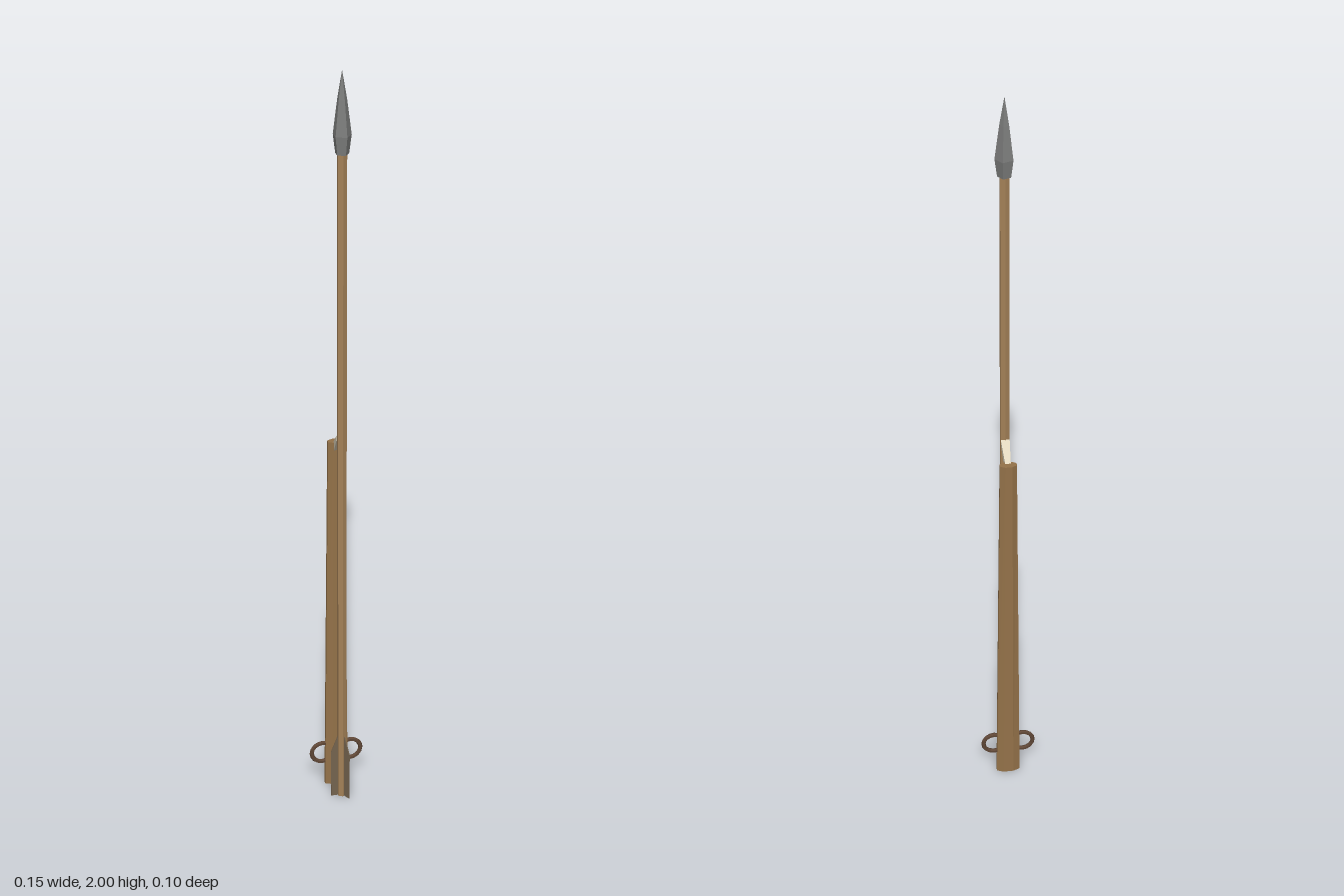
import * as THREE from 'three';

const paint = (color, extra = {}) => new THREE.MeshStandardMaterial({ color, flatShading: true, ...extra });

function add(parent, name, geometry, material, x = 0, y = 0, z = 0) {
  const mesh = new THREE.Mesh(geometry, material);
  mesh.name = name;
  mesh.position.set(x, y, z);
  parent.add(mesh);
  return mesh;
}

export function createModel() {
  const model = new THREE.Group();
  model.name = 'spearAndThrower';

  const shaftWood = paint(0xa58258);
  const boardWood = paint(0x947249);
  const stone = paint(0x7c7d7c);
  const bone = paint(0xe0d6bd);
  const leather = paint(0x5e4636);
  const feather = paint(0x75644f, { side: THREE.DoubleSide });

  // Dart: shaft, five-sided point and three feathers
  const dart = new THREE.Group();
  dart.name = 'dart';
  dart.position.z = 0.023;
  model.add(dart);
  add(dart, 'shaft', new THREE.CylinderGeometry(0.0125, 0.0125, 1.81, 6), shaftWood, 0, 0.905, 0);

  const headProfile = [[0, 1.8], [0.017, 1.8], [0.023, 1.845], [0.012, 1.93], [0, 2]]
    .map(([r, y]) => new THREE.Vector2(r, y));
  add(dart, 'spearHead', new THREE.LatheGeometry(headProfile, 5, Math.PI / 2), stone);

  const vane = new THREE.Shape([[0, 0], [0.029, 0], [0.029, 0.14], [0.01, 0.19], [0, 0.19]]
    .map(([x, y]) => new THREE.Vector2(x, y)));
  const vaneGeometry = new THREE.ExtrudeGeometry(vane, { depth: 0.003, bevelEnabled: false });
  vaneGeometry.translate(0, 0, -0.0015);
  for (let i = 0; i < 3; i++) {
    add(dart, 'feather', vaneGeometry, feather).rotation.y = Math.PI + (i * Math.PI * 2) / 3;
  }

  // Throwing board: flattened octagonal bar, wider at the grip
  const thrower = new THREE.Group();
  thrower.name = 'thrower';
  thrower.position.z = -0.038;
  model.add(thrower);
  const board = new THREE.CylinderGeometry(0.021, 0.031, 1.03, 8);
  board.rotateY(Math.PI / 8);
  const p = board.attributes.position;
  for (let i = 0; i < p.count; i++) {
    const radius = p.getY(i) > 0 ? 0.021 : 0.031;
    const thickness = p.getY(i) > 0 ? 0.0125 : 0.0135;
    p.setX(i, p.getX(i) / Math.cos(Math.PI / 8));
    p.setZ(i, (p.getZ(i) / radius) * thickness);
  }
  add(thrower, 'board', board, boardWood, 0, 0.515, 0);

  // Finger loops on both sides of the grip
  for (const side of [-1, 1]) {
    add(thrower, side > 0 ? 'leftFingerLoop' : 'rightFingerLoop',
      new THREE.TorusGeometry(0.029, 0.006, 6, 16), leather, side * 0.038, 0.1, 0);
  }

  // Spur: wedge rising from the board end to the dart
  const spur = new THREE.BoxGeometry(1, 1, 1);
  const s = spur.attributes.position;
  for (let i = 0; i < s.count; i++) {
    const atDart = s.getZ(i) > 0;
    const upper = s.getY(i) > 0;
    s.setXYZ(i,
      Math.sign(s.getX(i)) * (atDart ? 0.011 : 0.007),
      atDart ? (upper ? 1.07 : 1.055) : (upper ? 1.03 : 1.0),
      atDart ? 0.05 : 0.004);
  }
  add(thrower, 'spur', spur, bone);

  return model;
}
